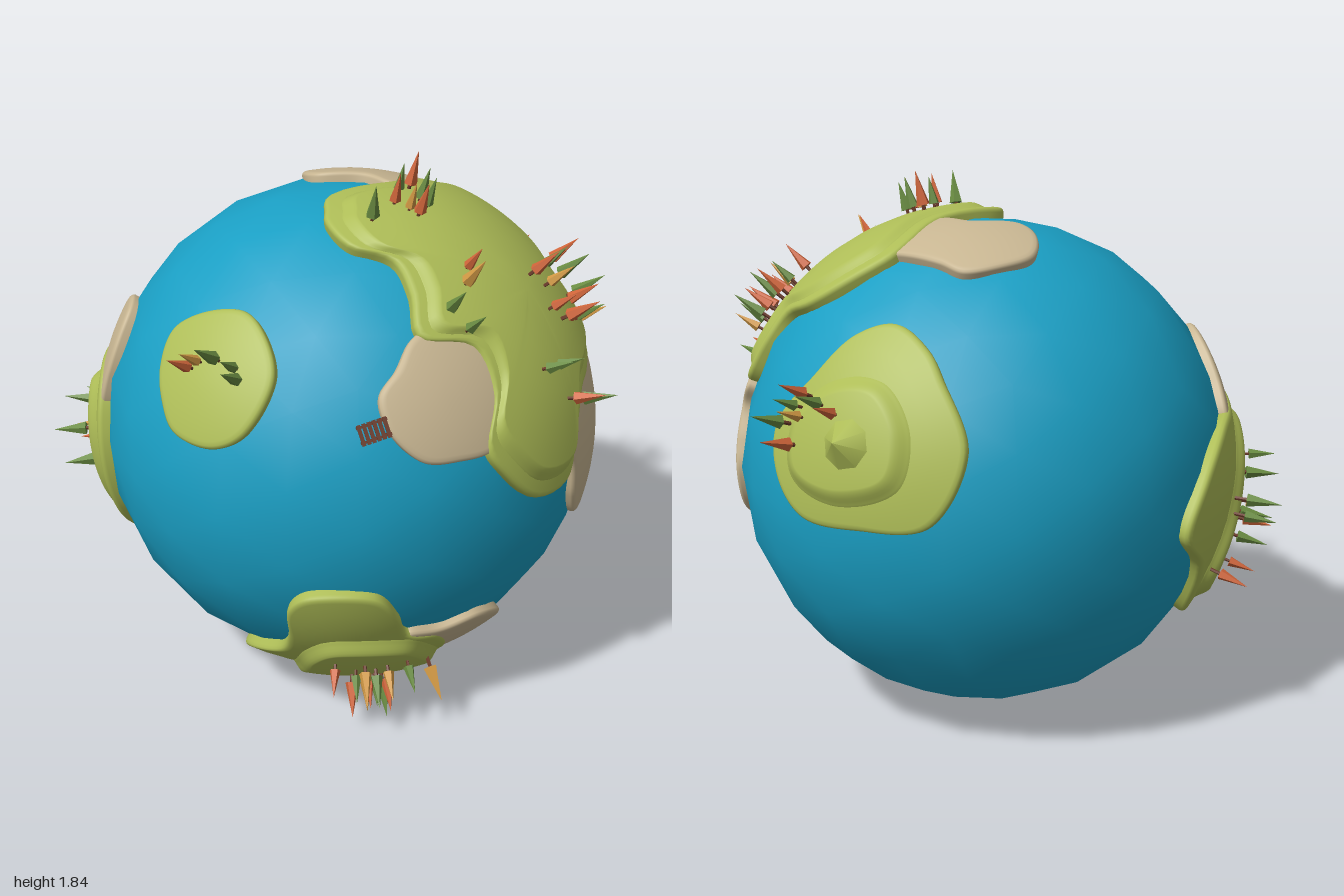
import * as THREE from 'three';

const R = 0.842;
const CENTRE = new THREE.Vector3(0.085, 0.872, 0);
const UP = new THREE.Vector3(0, 1, 0);
const V = (x, y, z) => new THREE.Vector3(x, y, z);

const COLORS = {
  sea: 0x1a9fc4, grass: 0xaebd57, sand: 0xc8b692, pine: 0x6a8c42,
  rust: 0xd0653a, amber: 0xd39a45, wood: 0x6b3b2a
};
const mats = {};
function mat(key, flat = false) {
  const id = key + flat;
  return mats[id] ??= new THREE.MeshStandardMaterial({ color: COLORS[key], flatShading: flat });
}

// Each helper lifts a flat position on one side of the globe to a unit direction.
const dirFrom = (side, a, b, r = R) => {
  const d = {
    f: () => [a - CENTRE.x, b - CENTRE.y], r: () => [a, b - CENTRE.y],
    l: () => [a, b - CENTRE.y], t: () => [a - CENTRE.x, b]
  }[side]();
  const n = Math.sqrt(Math.max(0, r * r - d[0] * d[0] - d[1] * d[1]));
  const out = { f: V(d[0], d[1], n), r: V(n, d[1], d[0]), l: V(-n, d[1], d[0]), t: V(d[0], n, d[1]) }[side];
  return out.normalize();
};
const pts = (side, ...list) => list.map(([a, b]) => dirFrom(side, a, b));

// Profiles: [inset from the shore, height] pairs from the shore inwards.
const slab = h => [[0, -0.03], [0, h * 0.4], [0.004, h * 0.75], [0.012, h * 0.94], [0.025, h]];
const mound = (base, h, w = 0.07) => [[0, base - 0.012],
  ...[0.15, 0.3, 0.45, 0.6, 0.75, 0.9, 1].map(t => [t * w, base - 0.004 + (h - base + 0.004) * t * t * (3 - 2 * t)])];

// Patch of land: a smooth closed shoreline filled with rings that follow the globe.
function patch(name, color, outline, profile, hub, scale = 1) {
  const n = 112;
  const c = hub ? hub.clone().normalize() : outline.reduce((s, p) => s.add(p), V(0, 0, 0)).normalize();
  let edge = new THREE.CatmullRomCurve3(outline, true).getPoints(n).slice(0, n).map(p => p.normalize());
  const turn = V(0, 0, 0);
  edge.forEach((p, i) => turn.add(p.clone().cross(edge[(i + 1) % n])));
  if (turn.dot(c) < 0) edge.reverse();
  edge = edge.map(p => c.clone().lerp(p, scale).normalize());

  const pos = [], idx = [];
  const top = profile.at(-1)[1];
  const rings = [...profile.map(([inset, h]) => ({ inset, h, k: 1 })),
    ...[0.8, 0.6, 0.4, 0.2].map(k => ({ inset: profile.at(-1)[0], h: top, k }))];
  for (const { inset, h, k } of rings) {
    for (const p of edge) {
      const s = k * (1 - Math.min(0.6, inset / (p.distanceTo(c) * R)));
      pos.push(...c.clone().lerp(p, s).normalize().multiplyScalar(R + h).toArray());
    }
  }
  pos.push(...c.clone().multiplyScalar(R + top).toArray());
  const last = rings.length - 1;
  for (let j = 0; j <= last; j++) {
    for (let i = 0; i < n; i++) {
      const a = j * n + i, b = j * n + (i + 1) % n;
      if (j === last) idx.push(a, b, (last + 1) * n);
      else idx.push(a, b, b + n, a, b + n, a + n);
    }
  }
  const g = new THREE.BufferGeometry();
  g.setAttribute('position', new THREE.Float32BufferAttribute(pos, 3));
  g.setIndex(idx);
  g.computeVertexNormals();
  const m = new THREE.Mesh(g, mat(color));
  m.name = name;
  return m;
}

// Pointed low-poly tree on a short trunk
const crownGeo = new THREE.ConeGeometry(0.021, 0.105, 5).translate(0, 0.078, 0);
const trunkGeo = new THREE.CylinderGeometry(0.006, 0.006, 0.045, 5).translate(0, 0.01, 0);
const KINDS = { g: 'pine', o: 'rust', a: 'amber' };
function grove(name, side, base, list) {
  const group = new THREE.Group();
  group.name = name;
  list.forEach(([kind, a, b], i) => {
    const d = dirFrom(side, a, b, R + base + 0.06);
    const tree = new THREE.Group();
    tree.name = 'tree';
    const crown = new THREE.Mesh(crownGeo, mat(KINDS[kind], true));
    crown.name = 'crown';
    const trunk = new THREE.Mesh(trunkGeo, mat('wood', true));
    trunk.name = 'trunk';
    tree.add(crown, trunk);
    tree.position.copy(d).multiplyScalar(R + base);
    tree.quaternion.setFromUnitVectors(UP, d);
    tree.rotateY(i * 1.3);
    tree.scale.setScalar(0.88 + 0.12 * ((i * 7) % 4) / 1.5);
    group.add(tree);
  });
  return group;
}

// Plank pier lying over the water
function pier() {
  const g = new THREE.Group();
  g.name = 'pier';
  const box = (name, w, h, d, x, y, z) => {
    const m = new THREE.Mesh(new THREE.BoxGeometry(w, h, d), mat('wood', true));
    m.name = name;
    m.position.set(x, y, z);
    g.add(m);
  };
  for (let i = 0; i < 6; i++) box('plank', 0.012, 0.066, 0.007, -0.042 + i * 0.0165, 0, 0.008);
  for (const y of [-0.024, 0.024]) {
    box('beam', 0.1, 0.008, 0.008, 0, y, 0);
    for (const x of [-0.038, 0, 0.038]) box('post', 0.008, 0.008, 0.05, x, y, -0.022);
  }
  const d = dirFrom('f', 0.13, 1.212, R + 0.02);
  g.position.copy(d).multiplyScalar(R + 0.022);
  g.quaternion.setFromUnitVectors(V(0, 0, 1), d);
  g.rotateZ(0.3);
  return g;
}

export function createModel() {
  const globe = new THREE.Group();
  globe.name = 'globe';
  globe.position.copy(CENTRE);
  const sea = new THREE.Mesh(new THREE.IcosahedronGeometry(R, 3), mat('sea'));
  sea.name = 'ocean';
  globe.add(sea);

  // Main continent with three beaches
  const main = [
    ...pts('t', [0, 0.2], [0.01, 0.12], [0.22, -0.02], [0.35, -0.19], [0.42, -0.24], [0.59, -0.22]),
    ...pts('r', [-0.16, 1.45], [-0.03, 1.39], [0, 1.28], [0.05, 1.17], [0.23, 1.13], [0.33, 1.11],
      [0.44, 1.0], [0.5, 0.88]),
    ...pts('f', [0.64, 0.89], [0.54, 1.0], [0.48, 1.1], [0.5, 1.25], [0.44, 1.38], [0.27, 1.43],
      [0.25, 1.53], [0.2, 1.6], [0.07, 1.63], [0, 1.67])];
  const hub = V(0.535, 0.577, 0.3);
  globe.add(patch('mainContinent', 'grass', main, slab(0.029), hub));
  globe.add(patch('mainHighland', 'grass', main, mound(0.029, 0.046, 0.06), hub, 0.92));
  globe.add(patch('frontBeach', 'sand', pts('f', [0.25, 1.43], [0.2, 1.36], [0.145, 1.29], [0.18, 1.19],
    [0.28, 1.1], [0.385, 1.085], [0.52, 1.1], [0.55, 1.25], [0.48, 1.42], [0.35, 1.46]), slab(0.02)));
  globe.add(patch('sideBeach', 'sand', pts('r', [0.46, 0.92], [0.43, 0.78], [0.36, 0.68], [0.2, 0.65],
    [0.08, 0.71], [0.03, 0.85], [0.06, 0.95], [0.11, 1.06], [0.08, 1.14], [0.2, 1.2], [0.38, 1.18],
    [0.5, 1.0]), slab(0.022)));
  globe.add(patch('topBeach', 'sand', pts('t', [0.22, -0.02], [0.14, -0.1], [-0.02, -0.13], [-0.06, -0.21],
    [-0.03, -0.35], [0.09, -0.41], [0.2, -0.415], [0.27, -0.35], [0.38, -0.24], [0.48, -0.13],
    [0.35, 0.03]), slab(0.022)));

  // Small front island
  globe.add(patch('frontIsland', 'grass', pts('f', [-0.52, 1.27], [-0.47, 1.38], [-0.26, 1.475], [-0.19, 1.43],
    [-0.165, 1.325], [-0.26, 1.16], [-0.36, 1.1], [-0.48, 1.11], [-0.515, 1.18]), slab(0.024)));

  // Lower island with hill and beach
  globe.add(patch('lowerIsland', 'grass', pts('f', [-0.13, 0.58], [-0.07, 0.64], [0.14, 0.64], [0.22, 0.53],
    [0.25, 0.44], [0.36, 0.39], [0.39, 0.25], [0.28, 0.1], [0.06, 0.06], [-0.23, 0.14], [-0.27, 0.23],
    [-0.15, 0.33], [-0.13, 0.44]), slab(0.028), dirFrom('f', 0.06, 0.34)));
  globe.add(patch('lowerHill', 'grass', pts('f', [-0.08, 0.37], [0, 0.44], [0.25, 0.43], [0.34, 0.35],
    [0.375, 0.23], [0.28, 0.12], [0.1, 0.09], [-0.09, 0.11], [-0.11, 0.25]), mound(0.028, 0.062, 0.06)));
  globe.add(patch('lowerBeach', 'sand', pts('f', [0.25, 0.43], [0.36, 0.42], [0.49, 0.44], [0.57, 0.39],
    [0.58, 0.31], [0.52, 0.23], [0.39, 0.14], [0.3, 0.13], [0.22, 0.2], [0.2, 0.35]), slab(0.022)));

  // Western island with hill and beach
  globe.add(patch('westIsland', 'grass', pts('l', [-0.62, 0.77], [-0.54, 0.95], [-0.38, 1.06], [-0.22, 1.08],
    [-0.02, 1.1], [0.1, 1.05], [0.16, 0.9], [0.16, 0.72], [0.1, 0.55], [-0.03, 0.43], [-0.2, 0.38],
    [-0.35, 0.42], [-0.5, 0.63]), slab(0.03)));
  globe.add(patch('westHill', 'grass', pts('l', [-0.42, 0.52], [-0.34, 0.78], [-0.17, 0.99], [0.0, 1.05],
    [0.09, 0.92], [0.1, 0.68], [0.0, 0.49], [-0.2, 0.42]), mound(0.03, 0.06)));
  globe.add(patch('westBeach', 'sand', pts('l', [-0.27, 1.05], [-0.2, 1.18], [-0.12, 1.27], [-0.03, 1.32],
    [0.06, 1.31], [0.12, 1.22], [0.14, 1.1], [0.1, 0.95], [-0.15, 0.95]), slab(0.022)));

  // Rear island with hill and peak
  globe.add(patch('rearIsland', 'grass', [
    ...pts('r', [-0.39, 1.12], [-0.44, 1.29], [-0.455, 1.42], [-0.505, 1.46], [-0.61, 1.4]),
    ...pts('t', [0.29, -0.68], [0.23, -0.79]),
    ...pts('r', [-0.8, 0.9], [-0.7, 0.865], [-0.55, 0.87], [-0.45, 0.97])], slab(0.028),
  dirFrom('r', -0.6, 1.12)));
  globe.add(patch('rearHill', 'grass', pts('r', [-0.45, 1.17], [-0.51, 1.3], [-0.62, 1.31], [-0.73, 1.17],
    [-0.76, 1.0], [-0.65, 0.92], [-0.5, 0.99]), mound(0.028, 0.055)));
  const peakDir = dirFrom('r', -0.69, 1.14, R + 0.06);
  const peak = new THREE.Mesh(new THREE.ConeGeometry(0.09, 0.085, 8), mat('grass'));
  peak.name = 'peak';
  peak.position.copy(peakDir).multiplyScalar(R + 0.085);
  peak.quaternion.setFromUnitVectors(UP, peakDir);
  globe.add(peak);

  // Groves
  globe.add(grove('topGrove', 't', 0.035, [['g', 0.25, 0.12], ['o', 0.29, 0.08], ['g', 0.32, 0.16],
    ['o', 0.23, 0.21], ['a', 0.28, 0.23], ['g', 0.15, 0.31], ['o', 0.31, 0.25], ['g', 0.34, 0.19],
    ['o', 0.46, 0.42], ['a', 0.45, 0.48], ['g', 0.39, 0.58], ['g', 0.45, 0.61]]));
  globe.add(grove('sideGrove', 'r', 0.046, [['o', 0.34, 1.44], ['o', 0.31, 1.39], ['o', 0.27, 1.54],
    ['a', 0.25, 1.49], ['g', 0.15, 1.52], ['g', 0.13, 1.47], ['o', 0.21, 1.41], ['g', 0.24, 1.36],
    ['a', 0.2, 1.34], ['g', 0.13, 1.4], ['o', 0.06, 1.5], ['g', 0.55, 1.31], ['g', 0.5, 1.3],
    ['g', 0.47, 1.16], ['o', 0.51, 1.18]]));
  globe.add(grove('frontGrove', 'f', 0.024, [['g', -0.31, 1.38], ['g', -0.37, 1.39], ['g', -0.3, 1.35],
    ['o', -0.46, 1.345], ['a', -0.43, 1.37]]));
  globe.add(grove('lowerGrove', 'f', 0.06, [['o', 0.015, 0.27], ['o', 0.08, 0.14], ['a', 0.12, 0.25],
    ['o', 0.135, 0.18], ['g', 0.16, 0.14], ['g', 0.19, 0.1], ['o', 0.2, 0.15], ['a', 0.13, 0.11],
    ['g', 0.27, 0.26], ['a', 0.35, 0.22], ['g', 0.16, 0.21], ['a', 0.2, 0.24], ['g', 0.09, 0.21]]));
  globe.add(grove('westGrove', 'l', 0.056, [['g', -0.14, 0.89], ['g', -0.39, 0.8], ['g', -0.36, 0.73],
    ['o', -0.25, 0.68], ['a', -0.23, 0.74], ['g', -0.1, 0.66], ['g', -0.2, 0.6], ['o', -0.5, 0.57],
    ['o', -0.3, 0.54], ['g', -0.07, 0.8]]));
  globe.add(grove('rearGrove', 'r', 0.052, [['g', -0.55, 1.24], ['g', -0.53, 1.18], ['o', -0.56, 1.28],
    ['o', -0.67, 1.24], ['a', -0.58, 1.21], ['o', -0.59, 1.12], ['g', -0.62, 1.26]]));

  globe.add(pier());

  const model = new THREE.Group();
  model.name = 'planet';
  model.add(globe);
  return model;
}
